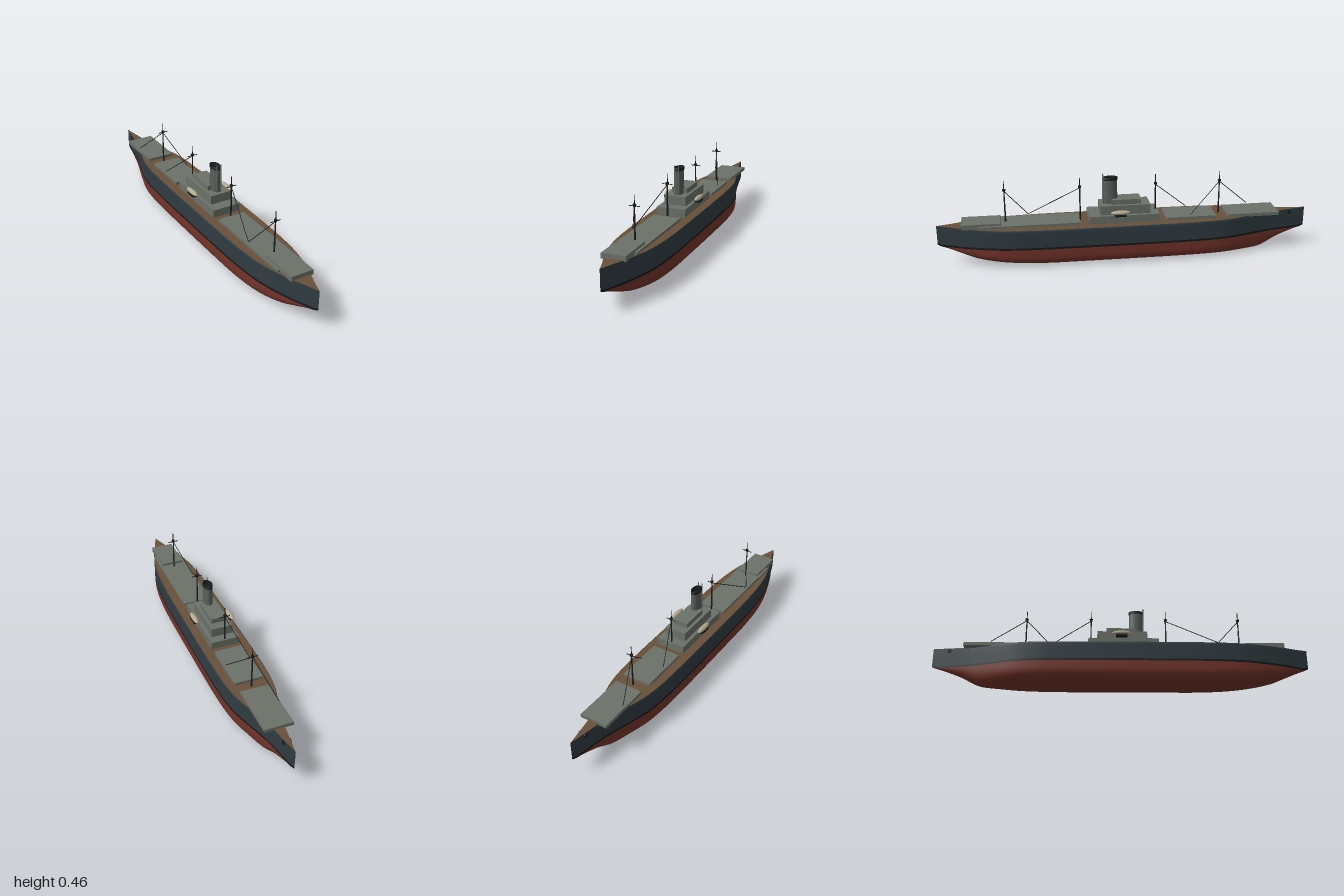
import * as THREE from 'three';

const mat = (color, side = THREE.FrontSide) => new THREE.MeshStandardMaterial({ color, side });
const MAT = {
  topsides: mat(0x2f3b41), belt: mat(0x15191b), bottom: mat(0x74342a), deck: mat(0x69513a),
  grey: mat(0x6b7169), black: mat(0x1b1d1e), blackOpen: mat(0x1b1d1e, THREE.DoubleSide),
  funnel: mat(0x5a605c, THREE.DoubleSide), boat: mat(0xb3a78c),
};

// Hull stations: z, half breadth, keel height
const STATIONS = [
  [-1, 0, 0.108], [-0.92, 0.014, 0.082], [-0.83, 0.03, 0.047], [-0.78, 0.041, 0.02], [-0.735, 0.054, 0.004],
  [-0.65, 0.08, 0], [-0.55, 0.108, 0], [-0.45, 0.121, 0], [-0.3, 0.127, 0], [0.2, 0.127, 0],
  [0.45, 0.124, 0.001], [0.6, 0.115, 0.008], [0.7, 0.1, 0.018], [0.8, 0.073, 0.035], [0.87, 0.05, 0.06],
  [0.93, 0.025, 0.082], [1, 0, 0.108],
];

// Skin a list of cross-sections that all hold the same number of points
function loft(rows) {
  const n = rows[0].length, pos = [], index = [];
  rows.forEach((row) => row.forEach((p) => pos.push(...p)));
  for (let i = 0; i < rows.length - 1; i++) {
    for (let j = 0; j < n - 1; j++) {
      const a = i * n + j, b = a + n;
      index.push(a, b, a + 1, b, b + 1, a + 1);
    }
  }
  const g = new THREE.BufferGeometry();
  g.setAttribute('position', new THREE.Float32BufferAttribute(pos, 3));
  g.setIndex(index);
  g.computeVertexNormals();
  return g;
}

function add(parent, name, geometry, material, x = 0, y = 0, z = 0) {
  const mesh = new THREE.Mesh(geometry, material);
  mesh.name = name;
  mesh.position.set(x, y, z);
  parent.add(mesh);
  return mesh;
}

// Box given by half width, height range and length range
function block(parent, name, hw, y0, y1, z0, z1, material = MAT.grey) {
  return add(parent, name, new THREE.BoxGeometry(hw * 2, y1 - y0, z1 - z0), material, 0, (y0 + y1) / 2, (z0 + z1) / 2);
}

// Thin round bar between two points
function bar(parent, name, a, b, r, material = MAT.black) {
  const p = new THREE.Vector3(...a), q = new THREE.Vector3(...b);
  const mesh = add(parent, name, new THREE.CylinderGeometry(r, r, p.distanceTo(q), 8), material);
  mesh.position.copy(p).lerp(q, 0.5);
  mesh.quaternion.setFromUnitVectors(new THREE.Vector3(0, 1, 0), q.sub(p).normalize());
  return mesh;
}

function buildHull() {
  const hull = new THREE.Group();
  hull.name = 'hull';
  const curve = new THREE.CatmullRomCurve3(STATIONS.map(([z, w, k]) => new THREE.Vector3(w, k, z)));
  const stations = curve.getPoints(96).map((p) => {
    const w = Math.max(p.x, 0), k = Math.max(p.y, 0);
    const low = Math.max(0.099, k);
    return { z: p.z, w, k, low, high: low + 0.011, top: 0.207 + 0.007 * p.z ** 4 };
  });

  // Underwater body: rounded bilge, fuller amidships
  add(hull, 'hullBottom', loft(stations.map(({ z, w, k, low }) => {
    const e = 2 / (2 + 2.2 * w / 0.127);
    return Array.from({ length: 33 }, (_, j) => {
      const t = (j / 32) * Math.PI, c = Math.cos(t);
      return [Math.sign(c) * w * Math.abs(c) ** e, low - (low - k) * Math.sin(t) ** e, z];
    });
  })), MAT.bottom);

  // Waterline belt and topsides, right round both sides
  for (const s of [1, -1]) {
    const strip = (points) => loft(stations.map((st) => {
      const row = points(st).map(([x, y]) => [s * x, y, st.z]);
      return s > 0 ? row : row.reverse();
    }));
    add(hull, 'waterlineBelt', strip(({ w, low, high }) => [[w, high], [w, low]]), MAT.belt);
    add(hull, 'topsides', strip(({ w, high, top }) =>
      [[w * 0.965, top], [w * 0.99, top - 0.003], [w, top - 0.012], [w, (top + high) / 2], [w, high]]), MAT.topsides);
  }
  add(hull, 'deck', loft(stations.map(({ z, w, top }) => [[-w * 0.965, top, z], [w * 0.965, top, z]])), MAT.deck);

  // Hawse pipes
  for (const s of [1, -1]) {
    const hawse = add(hull, 'hawsePipe', new THREE.CylinderGeometry(0.011, 0.011, 0.012, 16), MAT.black, s * 0.014, 0.196, -0.91);
    hawse.rotation.z = Math.PI / 2;
  }
  return hull;
}

function buildFunnel() {
  const funnel = new THREE.Group();
  funnel.name = 'funnel';
  const shell = add(funnel, 'funnelShell', new THREE.CylinderGeometry(0.023, 0.024, 0.13, 32, 1, true), MAT.funnel, 0, 0.36, 0);
  const cap = add(funnel, 'funnelCap', new THREE.LatheGeometry(
    [[0.019, 0.4], [0.019, 0.44], [0.0245, 0.44], [0.0245, 0.426], [0.023, 0.426]].map(([x, y]) => new THREE.Vector2(x, y)), 32), MAT.blackOpen);
  const inside = add(funnel, 'funnelInside', new THREE.CylinderGeometry(0.02, 0.02, 0.004, 32), MAT.black, 0, 0.415, 0);
  for (const part of [shell, cap, inside]) part.scale.z = 1.6;
  // Steam pipes on the forward face
  for (const s of [1, -1]) bar(funnel, 'steamPipe', [s * 0.011, 0.29, 0.039], [s * 0.011, 0.456, 0.039], 0.0032, MAT.grey);
  funnel.position.z = 0.083;
  return funnel;
}

function buildMast(z) {
  const mast = new THREE.Group();
  mast.name = 'mast';
  add(mast, 'lowerMast', new THREE.CylinderGeometry(0.003, 0.0045, 0.19, 12), MAT.black, 0, 0.3, 0);
  add(mast, 'topmast', new THREE.CylinderGeometry(0.0015, 0.003, 0.055, 12), MAT.black, 0, 0.418, 0);
  bar(mast, 'crosstree', [-0.028, 0.39, 0], [0.028, 0.39, 0], 0.0022);
  add(mast, 'mastTop', new THREE.CylinderGeometry(0.009, 0.007, 0.012, 12), MAT.black, 0, 0.393, 0);
  mast.position.z = z;
  return mast;
}

function buildLifeboat(x, z) {
  const boat = new THREE.Group();
  boat.name = 'lifeboat';
  const body = add(boat, 'boatBody', new THREE.SphereGeometry(1, 24, 16), MAT.boat, 0, 0.271, 0);
  body.scale.set(0.0145, 0.0125, 0.052);
  block(boat, 'boatCradle', 0.013, 0.252, 0.263, -0.03, 0.03, MAT.black);
  boat.position.set(x, 0, z);
  return boat;
}

export function createModel() {
  const ship = new THREE.Group();
  ship.name = 'cargoShip';
  ship.add(buildHull());

  // Hatches and end houses
  block(ship, 'sternHouse', 0.075, 0.204, 0.222, -0.83, -0.545);
  block(ship, 'aftHatch', 0.077, 0.2, 0.222, -0.48, -0.21);
  block(ship, 'forwardHatch', 0.075, 0.2, 0.221, 0.25, 0.78);
  block(ship, 'bowHouse', 0.062, 0.206, 0.233, 0.665, 0.87);

  // Stepped bridge house
  const house = new THREE.Group();
  house.name = 'bridgeHouse';
  block(house, 'lowerTier', 0.078, 0.2, 0.249, -0.172, 0.203);
  block(house, 'middleTier', 0.059, 0.249, 0.298, -0.125, 0.142);
  block(house, 'upperTier', 0.042, 0.298, 0.325, -0.077, 0.08);
  house.add(buildFunnel());
  ship.add(house);

  ship.add(buildLifeboat(0.094, 0.04), buildLifeboat(-0.094, 0.005));

  // Masts and cargo booms
  for (const z of [0.64, 0.245, -0.16, -0.51]) ship.add(buildMast(z));
  for (const [z0, x1, z1] of [[0.64, -0.067, 0.52], [0.245, -0.067, 0.515], [-0.16, -0.067, -0.34], [-0.51, 0.067, -0.342], [-0.51, -0.067, -0.685]]) {
    bar(ship, 'cargoBoom', [0, 0.388, z0], [x1, 0.232, z1], 0.002);
  }
  return ship;
}
